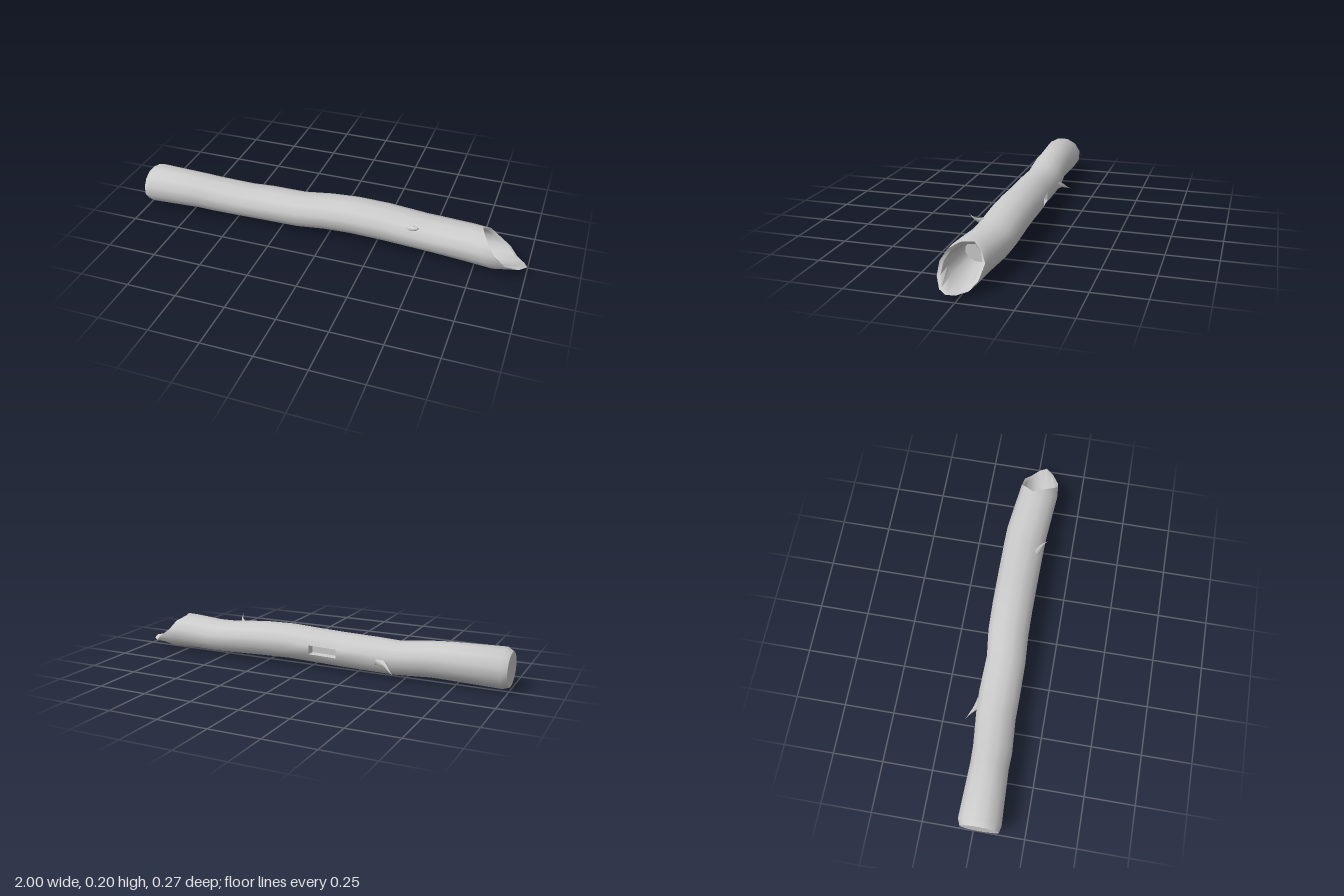
import * as THREE from 'three';
import { toCreasedNormals } from 'three/addons/utils/BufferGeometryUtils.js';

const SIDES = 12;
const NOTCH_X = [-0.16, -0.02];
const NOTCH_SIDE = 5;
const material = new THREE.MeshStandardMaterial({ color: 0xcccccc });

// Sections along the log: x, bottom, top, back z, front z
const sections = [
  [-1, 0.02, 0.185, -0.062, 0.125],
  [-0.97, 0.01, 0.203, -0.074, 0.134],
  [-0.7, 0.017, 0.196, -0.066, 0.121],
  [-0.62, 0.018, 0.19, -0.068, 0.124],
  [-0.45, 0.012, 0.175, -0.085, 0.112],
  [-0.34, 0.014, 0.18, -0.09, 0.113],
  [NOTCH_X[0], 0.016, 0.184, -0.085, 0.112],
  [NOTCH_X[1], 0.025, 0.193, -0.102, 0.103],
  [0.12, 0.03, 0.201, -0.106, 0.101],
  [0.28, 0.026, 0.197, -0.107, 0.102],
  [0.48, 0.018, 0.178, -0.108, 0.104],
  [0.56, 0.015, 0.176, -0.107, 0.107],
  [0.72, 0.011, 0.183, -0.088, 0.119],
  [0.8, 0.007, 0.182, -0.077, 0.127],
  [0.88, 0, 0.174, -0.071, 0.12],
  [0.95, 0.013, 0.16, -0.062, 0.108],
  [1, 0.033, 0.15, -0.045, 0.088],
];

// Reach of the broken rim at each angle, starting low on the front
const rimX = [0.85, 0.815, 0.785, 0.765, 0.8, 0.83, 0.9, 0.94, 0.985, 1, 0.965, 0.9];

function sectionAt(x) {
  let k = 1;
  while (k < sections.length - 1 && sections[k][0] < x) k++;
  const a = sections[k - 1], b = sections[k];
  const t = (x - a[0]) / (b[0] - a[0]);
  return a.map((v, n) => v + (b[n] - v) * t);
}

// Point on the bark at x and side i; scale < 1 lies inside the wood
function barkPoint(x, i, scale = 1) {
  const [, y0, y1, z0, z1] = sectionAt(x);
  const a = (i + 0.5) * Math.PI * 2 / SIDES;
  const s = scale * 1.025;
  return new THREE.Vector3(
    x,
    (y0 + y1) / 2 + Math.sin(a) * s * (y1 - y0) / 2,
    (z0 + z1) / 2 + Math.cos(a) * s * (z1 - z0) / 2
  );
}

const ring = (xOf, scale) =>
  Array.from({ length: SIDES }, (_, i) => barkPoint(xOf(i), i, scale));

function collapse(points) {
  const c = new THREE.Vector3();
  points.forEach((p) => c.addScaledVector(p, 1 / points.length));
  return points.map(() => c);
}

// Closed strips between successive rings
function loft(rings, crease, skip = () => false) {
  const n = rings[0].length;
  const index = [];
  for (let j = 0; j < rings.length - 1; j++) {
    for (let i = 0; i < n; i++) {
      if (skip(j, i)) continue;
      const a = j * n + i, d = j * n + (i + 1) % n;
      index.push(a, a + n, d + n, a, d + n, d);
    }
  }
  const g = new THREE.BufferGeometry().setFromPoints(rings.flat());
  g.setIndex(index);
  return toCreasedNormals(g, crease);
}

function addMesh(group, name, geometry) {
  const mesh = new THREE.Mesh(geometry, material);
  mesh.name = name;
  group.add(mesh);
}

// Curved thorn with a wide foot
function twig(points, radius) {
  const curve = new THREE.CatmullRomCurve3(points.map((p) => new THREE.Vector3(...p)));
  const steps = 6, sides = 6;
  const g = new THREE.TubeGeometry(curve, steps, radius, sides);
  const pos = g.attributes.position, p = new THREE.Vector3();
  for (let k = 0; k < pos.count; k++) {
    const t = Math.floor(k / (sides + 1)) / steps;
    const c = curve.getPointAt(t);
    p.fromBufferAttribute(pos, k).sub(c).multiplyScalar(Math.pow(1 - t, 1.5) + 0.01);
    p.add(c);
    pos.setXYZ(k, p.x, p.y, p.z);
  }
  g.computeVertexNormals();
  return g;
}

export function createModel() {
  const group = new THREE.Group();
  group.name = 'brokenLog';

  // Bark, torn rim and hollow end in one continuous loft
  const rings = sections.filter((s) => s[0] <= 0.72).map((s) => ring(() => s[0], 1));
  rings.unshift(collapse(rings[0]));
  for (const t of [0.5, 1]) {
    rings.push(ring((i) => 0.72 + (rimX[i] - 0.72) * t, 1));
  }
  rings.push(ring((i) => rimX[i] - 0.01, 0.84));
  rings.push(ring((i) => 0.72 + (rimX[i] - 0.72) * 0.5, 0.76));
  rings.push(ring(() => 0.66, 0.62));
  rings.push(collapse(rings[rings.length - 1]));
  const notchRing = sections.findIndex((s) => s[0] === NOTCH_X[0]) + 1;
  addMesh(group, 'trunk', loft(rings, 0.85, (j, i) => j === notchRing && i === NOTCH_SIDE));

  // Rectangular notch sunk into the back
  const corners = (scale, inset) => [
    barkPoint(NOTCH_X[0] + inset, NOTCH_SIDE, scale),
    barkPoint(NOTCH_X[0] + inset, NOTCH_SIDE + 1, scale),
    barkPoint(NOTCH_X[1] - inset, NOTCH_SIDE + 1, scale),
    barkPoint(NOTCH_X[1] - inset, NOTCH_SIDE, scale),
  ];
  const floor = corners(0.75, 0.01);
  addMesh(group, 'notch', loft([corners(1, 0), floor, collapse(floor)], 0.5));

  // Thorn-like twig stubs
  addMesh(group, 'backTwig', twig(
    [[-0.38, 0.088, -0.07], [-0.425, 0.08, -0.095], [-0.445, 0.067, -0.112], [-0.478, 0.048, -0.136]], 0.026));
  addMesh(group, 'frontTwig', twig(
    [[0.42, 0.145, 0.065], [0.455, 0.16, 0.083], [0.473, 0.176, 0.1], [0.478, 0.198, 0.122]], 0.022));

  return group;
}
